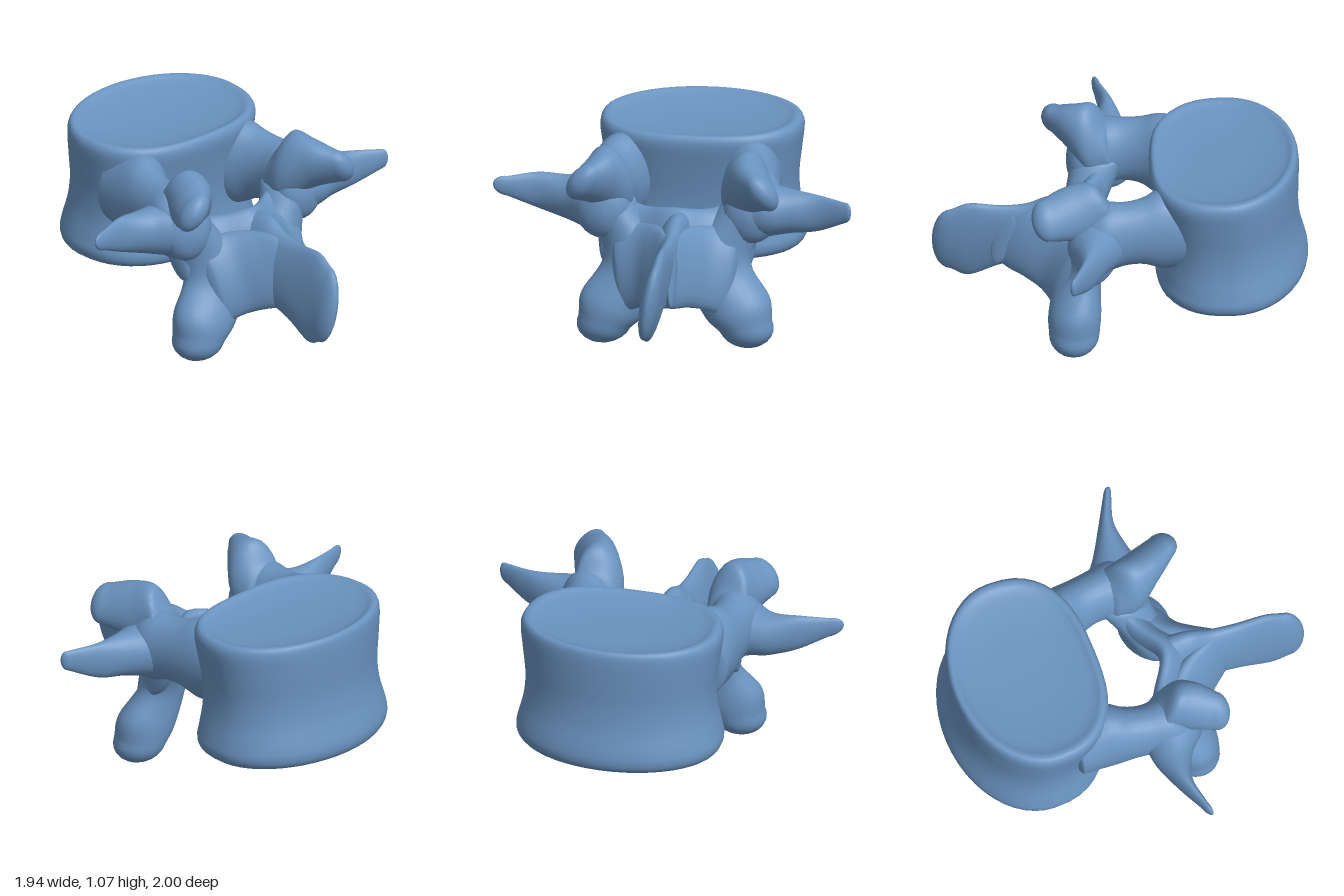
import * as THREE from 'three';

const material = new THREE.MeshStandardMaterial({ color: 0x6a93c0 });
const MID = 0.03; // the midline sits a little off centre

// Closed skin over a list of rings of points, both ends fanned shut
function skin(name, rings) {
  const n = rings[0].length, pos = [], idx = [];
  const center = r => r.reduce((a, p) => a.add(p), new THREE.Vector3()).divideScalar(n);
  rings.forEach(r => r.forEach(p => pos.push(p.x, p.y, p.z)));
  for (let i = 0; i < rings.length - 1; i++) {
    for (let j = 0; j < n; j++) {
      const k = (j + 1) % n, a = i * n + j, b = i * n + k;
      idx.push(a, b, a + n, b, b + n, a + n);
    }
  }
  const last = (rings.length - 1) * n, c0 = rings.length * n;
  for (const r of [rings[0], rings[rings.length - 1]]) pos.push(...center(r).toArray());
  for (let j = 0; j < n; j++) {
    const k = (j + 1) % n;
    idx.push(c0, k, j, c0 + 1, last + j, last + k);
  }
  const g = new THREE.BufferGeometry();
  g.setAttribute('position', new THREE.Float32BufferAttribute(pos, 3));
  g.setIndex(idx);
  g.computeVertexNormals();
  const mesh = new THREE.Mesh(g, material);
  mesh.name = name;
  return mesh;
}

// Elliptical loft through keys [centre, half axis u, half axis v] with domed ends
function loft(name, keys, capStart, capEnd, n = 28, steps = 24) {
  const curves = [0, 1, 2].map(k => new THREE.CatmullRomCurve3(
    keys.map(key => new THREE.Vector3(...key[k])), false, 'catmullrom', 0.5));
  const [path, us, vs] = curves;
  const cross = us.getPoint(0.5).cross(vs.getPoint(0.5));
  const flip = cross.dot(path.getTangent(0.5)) < 0 ? -1 : 1;
  const ring = (t, scale, push) => {
    const c = path.getPoint(t).addScaledVector(path.getTangent(t), push);
    const u = us.getPoint(t), v = vs.getPoint(t);
    return Array.from({ length: n }, (_, j) => {
      const a = flip * j / n * Math.PI * 2;
      return c.clone().addScaledVector(u, Math.cos(a) * scale).addScaledVector(v, Math.sin(a) * scale);
    });
  };
  const rings = [], dome = 6;
  for (let i = dome; i > 0; i--) {
    const a = i / dome * 1.5;
    rings.push(ring(0, Math.cos(a), -capStart * Math.sin(a)));
  }
  for (let i = 0; i <= steps; i++) rings.push(ring(i / steps, 1, 0));
  for (let i = 1; i <= dome; i++) {
    const a = i / dome * 1.5;
    rings.push(ring(1, Math.cos(a), capEnd * Math.sin(a)));
  }
  return skin(name, rings);
}

// Drum-shaped body: waisted wall, rounded rims, dished end faces, flat canal side
function body() {
  const profile = new THREE.CatmullRomCurve3([ // scale, height, z shift
    [0.02, 1.015, 0.03], [0.45, 1.02, 0.03], [0.78, 1.04, 0.03], [0.89, 1.06, 0.03],
    [0.95, 1.05, 0.03], [0.975, 1.0, 0.03], [0.95, 0.88, 0.02], [0.92, 0.73, 0.01],
    [0.93, 0.6, 0], [0.98, 0.48, -0.01], [1, 0.42, -0.01], [0.97, 0.375, -0.01],
    [0.88, 0.36, -0.01], [0.5, 0.385, 0], [0.02, 0.39, 0],
  ].map(p => new THREE.Vector3(...p)), false, 'catmullrom', 0.5);
  const rings = [];
  for (let i = 0; i <= 56; i++) {
    const { x: k, y, z: shift } = profile.getPoint(i / 56);
    rings.push(Array.from({ length: 48 }, (_, j) => {
      const a = j / 48 * Math.PI * 2, c = Math.cos(a), s = Math.sin(a);
      const depth = s > 0 ? 0.44 * s ** 0.8 - 0.03 * s ** 8 : 0.41 * s;
      const tip = -0.018 * s * k; // end faces rise slightly towards the far side
      return new THREE.Vector3(0.08 + k * 0.56 * c, y + tip, -0.585 + shift + k * depth);
    }));
  }
  return skin('vertebralBody', rings);
}

export function createModel() {
  const group = new THREE.Group();
  group.name = 'vertebra';
  group.add(body());

  for (const s of [-1, 1]) {
    const side = s > 0 ? 'left' : 'right';
    const far = s > 0 ? 0.03 : -0.04; // the two sides differ slightly in z
    const lift = s > 0 ? -0.01 : 0.015; // and in height
    const mirror = keys => keys.map(([c, u, v]) =>
      [[MID + s * c[0], c[1], c[2]], [s * u[0], u[1], u[2]], [s * v[0], v[1], v[2]]]);
    const add = (name, keys, a, b) => group.add(loft(side + name, mirror(keys), a, b));

    // Pedicle joining the body to the arch, flared into the body
    add('Pedicle', [
      [[0.33, 0.78, -0.42], [0.17, 0, 0], [0, 0.2, 0]],
      [[0.345, 0.785, -0.24], [0.165, 0, 0], [0, 0.24, 0]],
      [[0.385, 0.79, -0.12], [0.135, 0, 0], [0, 0.195, 0]],
      [[0.405, 0.785, -0.02], [0.13, 0, 0], [0, 0.185, 0]],
      [[0.41, 0.77, 0.09], [0.15, 0, 0], [0, 0.2, 0]],
      [[0.4, 0.75, 0.18], [0.15, 0, 0], [0, 0.17, 0]],
    ], 0.03, 0.1);

    // Upper joint horn, a broad plate sweeping outwards and forwards
    add('UpperJointHorn', [
      [[0.37, 0.82, 0.04], [0.12, 0, -0.03], [0, 0.15, 0.03]],
      [[0.36, 0.88, 0.14], [0.12, 0, -0.05], [0.02, 0.2, 0.01]],
      [[0.42, 0.925, 0.26 + far / 2], [0.1, -0.01, -0.05], [-0.02, 0.145, 0]],
      [[0.485, 0.93, 0.37 + far], [0.075, -0.02, -0.04], [-0.025, 0.1, 0]],
    ], 0.05, 0.08);

    // Transverse wing: flat paddle tapering sideways
    add('TransverseWing', [
      [[0.36, 0.75, 0.08], [0, 0, 0.18], [0, 0.19, 0]],
      [[0.49, 0.75, 0.11 + far / 2], [0, 0, 0.16], [0, 0.145, 0]],
      [[0.61, 0.755, 0.11 + far * 1.5], [0, 0, 0.1], [0, 0.12, 0]],
      [[0.76, 0.77 + lift, 0.13 + far * 2], [0, 0, 0.045], [0, 0.1, 0]],
      [[0.92, 0.8 + lift, s > 0 ? 0.26 : 0.095], [0, 0, 0.022], [0, 0.055, 0]],
    ], 0.05, s > 0 ? 0.03 : 0.08);

    // Lower joint horn: slanted plate of the arch, thickening downwards
    add('LowerJointHorn', [
      [[0.38, 0.77, 0.1], [0.15, 0, -0.02], [0, 0, 0.15]],
      [[0.28, 0.59, 0.165], [0.15, 0, -0.06], [0.03, 0, 0.11]],
      [[0.235, 0.42, 0.22], [0.165, 0.03, -0.05], [0.02, 0, 0.11]],
      [[0.33, 0.24, 0.245], [0.175, 0.05, -0.01], [0, 0, 0.14]],
      [[0.38, 0.13, 0.25], [0.14, 0.03, 0], [0, 0, 0.135]],
    ], 0.06, 0.12);

    // Web sweeping from the spine to the lower horn
    add('LaminaWeb', [
      [[-0.03, 0.51, 0.62], [0.02, 0, 0.05], [0, 0.16, -0.04]],
      [[0.03, 0.51, 0.52], [0.03, 0, 0.06], [0, 0.19, -0.06]],
      [[0.09, 0.5, 0.41], [0.04, 0, 0.07], [0, 0.2, -0.08]],
      [[0.18, 0.47, 0.31], [0.02, 0, 0.085], [0.01, 0.21, -0.08]],
      [[0.3, 0.43, 0.24], [0, 0, 0.1], [0.03, 0.23, -0.07]],
    ], 0.02, 0.05);
  }

  // Lamina: V-shaped plate closing the canal
  const lamina = [
    [-0.37, 0.64, 0.09, 0.2], [-0.17, 0.54, 0.19, 0.21], [0.03, 0.55, 0.3, 0.225],
    [0.22, 0.54, 0.2, 0.21], [0.42, 0.64, 0.09, 0.2],
  ].map(([x, y, z, h]) => [[x, y, z], [0, 0.02, 0.08], [0, h, -0.07]]);
  group.add(loft('lamina', lamina, 0.04, 0.04));

  // Spine: tall thin blade along the midline
  const spine = [
    [0.02, 0.55, 0.26, 0.1, 0.21], [0.015, 0.545, 0.38, 0.085, 0.22], [0.005, 0.515, 0.5, 0.07, 0.2],
    [-0.005, 0.49, 0.64, 0.06, 0.21], [-0.015, 0.46, 0.8, 0.053, 0.25], [-0.025, 0.455, 0.9, 0.05, 0.21],
  ].map(([x, y, z, w, h]) => [[x, y, z], [w, 0, 0], [0.035, h, 0]]);
  group.add(loft('spine', spine, 0.03, 0.1));

  return group;
}
